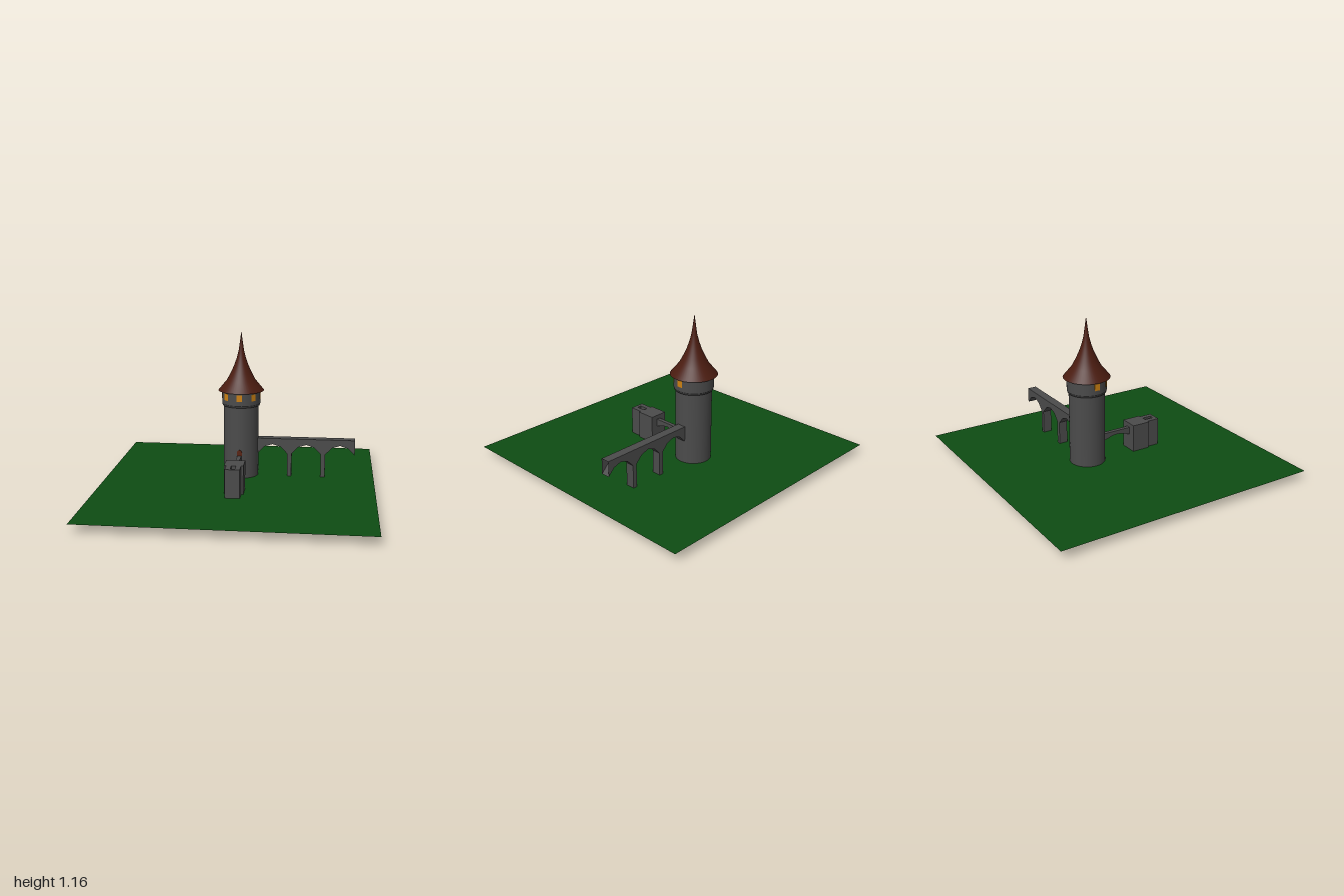
import * as THREE from 'three';
import { mergeGeometries } from 'three/addons/utils/BufferGeometryUtils.js';

const mat = (color) => new THREE.MeshStandardMaterial({ color, side: THREE.DoubleSide });
const stone = mat(0x4b4b4b);
const roofTile = mat(0x4a1c10);
const grass = mat(0x0e4c13);
const glow = mat(0xcc8011);
const wood = mat(0x5a2412);

const TOWER_Z = -0.212;

// Open strips swept along +z from polylines of [x, y]
function ribbon(paths, depth) {
  const pos = [];
  for (const path of paths) {
    for (let i = 0; i + 1 < path.length; i++) {
      const [ax, ay] = path[i], [bx, by] = path[i + 1];
      pos.push(ax, ay, 0, bx, by, 0, bx, by, depth, ax, ay, 0, bx, by, depth, ax, ay, depth);
    }
  }
  const g = new THREE.BufferGeometry();
  g.setAttribute('position', new THREE.Float32BufferAttribute(pos, 3));
  g.computeVertexNormals();
  return g;
}

// Flat face at height z, optionally with a hole
function cap(outline, z, hole) {
  const toV = (p) => new THREE.Vector2(p[0], p[1]);
  const shape = new THREE.Shape(outline.map(toV));
  if (hole) shape.holes.push(new THREE.Path(hole.map(toV)));
  const g = new THREE.ShapeGeometry(shape).toNonIndexed();
  g.deleteAttribute('uv');
  return g.translate(0, 0, z);
}

function lathe(points, segments = 48) {
  return new THREE.LatheGeometry(points.map(([r, y]) => new THREE.Vector2(r, y)), segments);
}

function add(parent, name, geometry, material, x = 0, y = 0, z = 0) {
  const mesh = new THREE.Mesh(geometry, material);
  mesh.name = name;
  mesh.position.set(x, y, z);
  parent.add(mesh);
  return mesh;
}

function buildTower() {
  const tower = new THREE.Group();
  tower.name = 'tower';
  tower.position.z = TOWER_Z;

  // Shaft, flared collar and lantern drum
  add(tower, 'towerShaft', lathe([[0.13, 0.03], [0.13, 0.61]]), stone);
  add(tower, 'towerCollar', lathe([[0.13, 0.605], [0.139, 0.607], [0.143, 0.622]]), stone);
  add(tower, 'towerDrum', lathe([[0.143, 0.622], [0.143, 0.72]]), stone);

  // Roof with curved slope and its underside
  add(tower, 'roof', lathe([[0.17, 0.718], [0.107, 0.795], [0.078, 0.85], [0.053, 0.905],
    [0.034, 0.96], [0.02, 1.015], [0.01, 1.085], [0, 1.16]]), roofTile);
  add(tower, 'roofUnderside', new THREE.RingGeometry(0.13, 0.17, 48).rotateX(Math.PI / 2), roofTile, 0, 0.718);

  // Windows around the front half of the drum
  for (let i = -2; i <= 2; i++) {
    const a = (i * Math.PI) / 4;
    const win = add(tower, 'window', new THREE.BoxGeometry(0.04, 0.05, 0.01), glow,
      Math.sin(a) * 0.139, 0.68, Math.cos(a) * 0.139);
    win.rotation.y = a;
  }

  // Arched door above the footbridge
  const door = new THREE.Shape();
  door.moveTo(-0.018, 0);
  door.lineTo(0.018, 0);
  door.lineTo(0.018, 0.025);
  door.absarc(0, 0.025, 0.018, 0, Math.PI, false);
  add(tower, 'door', new THREE.ExtrudeGeometry(door, { depth: 0.012, bevelEnabled: false }),
    wood, 0, 0.242, 0.124);
  return tower;
}

// Hollow arcade on two piers, open at its far end
function buildArcade() {
  const top = 0.355, spring = 0.24, half = 0.11, depth = 0.066;
  const arches = [0.24, 0.4925, 0.745].map((cx, i) => {
    const pts = [[-1, 0], [-0.55, 0.052], [0, 0.072], [0.55, 0.052], [1, 0]]
      .map(([u, h]) => [cx + u * half, spring + h]);
    if (i > 0) pts.unshift([cx - half, 0]);
    if (i < 2) pts.push([cx + half, 0]);
    return pts;
  });
  const crown = [[0.855, top], [0.12, top]];
  const outline = [...arches.flat(), ...crown];
  return mergeGeometries([ribbon([...arches, crown], depth), cap(outline, 0), cap(outline, depth)]);
}

// Footbridge with a shallow arch, from the gatehouse to the tower
function buildFootbridge() {
  const soffit = [[-0.085, 0.185], [-0.045, 0.198], [-0.005, 0.211], [0.035, 0.215],
    [0.075, 0.211], [0.115, 0.198], [0.155, 0.185]];
  const deck = [[0.155, 0.243], [-0.085, 0.243]];
  const outline = [...soffit, ...deck];
  return mergeGeometries([ribbon([soffit, deck], 0.03), cap(outline, 0), cap(outline, 0.03)])
    .translate(0, 0, -0.015).rotateY(-Math.PI / 2);
}

// Stepped gatehouse block with a shaft through its front half
function buildGatehouse() {
  const height = 0.213;
  const outline = [[-0.07, -0.147], [-0.07, -0.287], [-0.054, -0.287], [-0.054, -0.382],
    [0.052, -0.382], [0.052, -0.287], [0.067, -0.287], [0.067, -0.147]];
  const hole = [[-0.017, -0.288], [0.015, -0.288], [0.015, -0.357], [-0.017, -0.357]];
  const loop = (p) => [...p, p[0]];
  return mergeGeometries([ribbon([loop(outline), loop(hole)], height), cap(outline, height, hole)])
    .rotateX(-Math.PI / 2).translate(0, 0.062, 0);
}

export function createModel() {
  const model = new THREE.Group();
  model.name = 'towerWithBridges';
  add(model, 'ground', new THREE.PlaneGeometry(2, 2).rotateX(-Math.PI / 2), grass, 0, 0.066);
  model.add(buildTower());
  add(model, 'arcade', buildArcade(), stone, 0, 0, -0.249);
  add(model, 'footbridge', buildFootbridge(), stone);
  add(model, 'gatehouse', buildGatehouse(), stone);
  return model;
}
